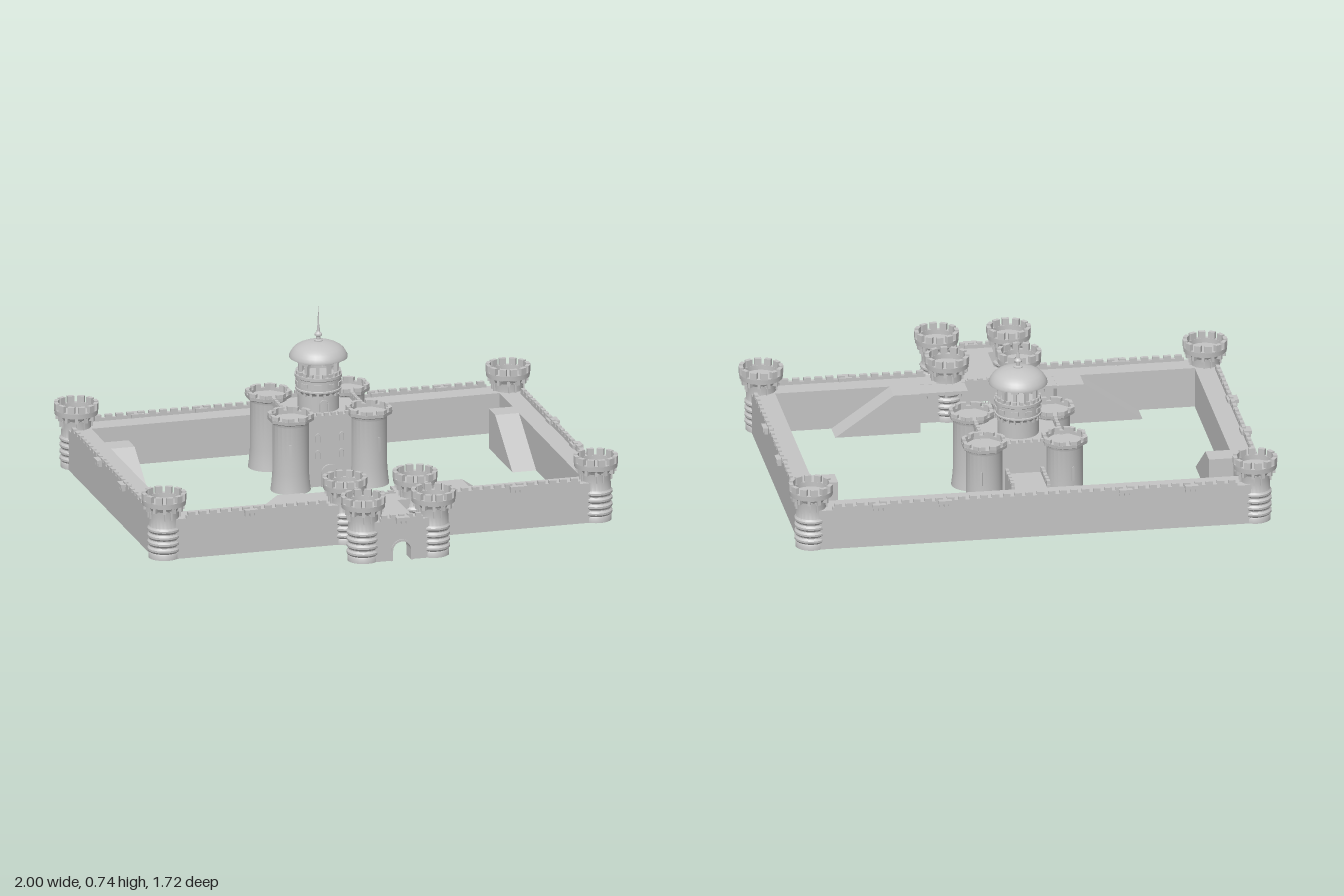
import * as THREE from 'three';
import { mergeGeometries, toCreasedNormals } from 'three/addons/utils/BufferGeometryUtils.js';

const stone = new THREE.MeshStandardMaterial({ color: 0xc4c4c4 });
stone.name = 'stone';
const BASE = 0.02;

function add(parent, name, geo) {
  const m = new THREE.Mesh(geo, stone);
  m.name = name;
  parent.add(m);
  return m;
}
// Box given by its min and max corners
function boxGeo(x0, x1, y0, y1, z0, z1) {
  return new THREE.BoxGeometry(x1 - x0, y1 - y0, z1 - z0)
    .translate((x0 + x1) / 2, (y0 + y1) / 2, (z0 + z1) / 2);
}
function lathe(points, sides, crease = 0.4, phase = 0) {
  const g = new THREE.LatheGeometry(points.map(p => new THREE.Vector2(...p)), sides);
  return toCreasedNormals(g.rotateY(phase), crease);
}
// Blocks spaced around a circle
function ringBlocks(n, r, w, h, d, y0, phase = 0) {
  const list = [];
  for (let i = 0; i < n; i++) {
    list.push(new THREE.BoxGeometry(w, h, d).translate(0, y0 + h / 2, r).rotateY(phase + i * 2 * Math.PI / n));
  }
  return mergeGeometries(list);
}
// Low parapet with merlons along a straight line
function parapet(parent, x0, z0, x1, z1, y0, yMid, yTop, t = 0.016, pitch = 0.046) {
  const len = Math.hypot(x1 - x0, z1 - z0);
  const n = Math.max(1, Math.round(len / pitch));
  const list = [boxGeo(0, len, y0, yMid, -t / 2, t / 2)];
  for (let i = 0; i < n; i++) {
    const c = (i + 0.5) * len / n;
    list.push(boxGeo(c - pitch * 0.32, c + pitch * 0.32, yMid, yTop, -t / 2, t / 2));
  }
  const g = mergeGeometries(list).rotateY(-Math.atan2(z1 - z0, x1 - x0)).translate(x0, 0, z0);
  add(parent, 'parapet', g);
}
// Wall panel in the xy plane with an arched opening at the bottom
function archWall(halfW, top, openW, openH, z0, z1, y0 = BASE) {
  const s = new THREE.Shape();
  s.moveTo(-halfW, y0);
  s.lineTo(-openW, y0);
  s.lineTo(-openW, openH - openW);
  s.absarc(0, openH - openW, openW, Math.PI, 0, true);
  s.lineTo(openW, y0);
  s.lineTo(halfW, y0);
  s.lineTo(halfW, top);
  s.lineTo(-halfW, top);
  return new THREE.ExtrudeGeometry(s, { depth: z1 - z0, bevelEnabled: false, curveSegments: 8 }).translate(0, 0, z0);
}
// Raised arch frame, centred on x = 0 and standing on y0
function archFrame(w, h, t, depth) {
  const s = new THREE.Shape();
  s.moveTo(-w - t, 0);
  s.lineTo(-w, 0);
  s.lineTo(-w, h - w);
  s.absarc(0, h - w, w, Math.PI, 0, true);
  s.lineTo(w, 0);
  s.lineTo(w + t, 0);
  s.lineTo(w + t, h - w);
  s.absarc(0, h - w, w + t, 0, Math.PI, false);
  return new THREE.ExtrudeGeometry(s, { depth, bevelEnabled: false, curveSegments: 6 });
}

// Wall tower with bulging courses and a flared crown
function wallTower(parent, name, x, z) {
  const g = new THREE.Group();
  g.name = name;
  g.position.set(x, 0, z);
  const body = [[0, BASE], [0.064, BASE], [0.064, 0.04]];
  for (let i = 0; i < 4; i++) {
    const y = 0.045 + i * 0.028;
    body.push([0.061, y], [0.068, y + 0.008], [0.068, y + 0.016], [0.061, y + 0.024]);
  }
  body.push([0.06, 0.2], [0.064, 0.228]);
  add(g, 'towerBody', lathe(body, 24, 0.7));
  add(g, 'towerCrown', lathe([[0.062, 0.222], [0.072, 0.238], [0.088, 0.244], [0.09, 0.266],
    [0.073, 0.266], [0.073, 0.246], [0, 0.246]], 24));
  add(g, 'towerCorbels', ringBlocks(12, 0.072, 0.012, 0.024, 0.022, 0.222, Math.PI / 12));
  add(g, 'towerMerlons', ringBlocks(12, 0.0815, 0.028, 0.029, 0.017, 0.264));
  for (let i = 0; i < 4; i++) {
    add(g, 'towerWindow', archFrame(0.011, 0.04, 0.005, 0.012).translate(0, 0.188, 0.054).rotateY(i * Math.PI / 2));
  }
  parent.add(g);
}
// Tall smooth keep tower with an eight-sided crown
function keepTower(parent, x, z) {
  const g = new THREE.Group();
  g.name = 'keepTower';
  g.position.set(x, 0, z);
  add(g, 'towerBody', lathe([[0, BASE], [0.082, BASE], [0.078, 0.05], [0.074, 0.1], [0.074, 0.3], [0.08, 0.318]], 24));
  add(g, 'towerCrown', lathe([[0.078, 0.308], [0.094, 0.316], [0.096, 0.33], [0.08, 0.33],
    [0.08, 0.317], [0, 0.317]], 8, 0.4, Math.PI / 8));
  const merlons = [];
  for (let i = 0; i < 8; i++) {
    for (const u of [-0.022, 0.022]) {
      merlons.push(boxGeo(u - 0.013, u + 0.013, 0.328, 0.345, 0.073, 0.088).rotateY(i * Math.PI / 4));
    }
  }
  add(g, 'towerMerlons', mergeGeometries(merlons));
  const out = Math.sign(x) * 0.3;
  add(g, 'arrowSlit', boxGeo(-0.005, 0.005, 0.17, 0.23, 0.07, 0.078).rotateY(z > -0.4 ? out : Math.PI - out));
  parent.add(g);
}
// Stair block: level landing from a to b, then a slope down to c
function rampGeo(a, b, c, depth) {
  const s = new THREE.Shape();
  s.moveTo(a, BASE);
  s.lineTo(c, BASE);
  s.lineTo(b, 0.188);
  s.lineTo(a, 0.188);
  return new THREE.ExtrudeGeometry(s, { depth, bevelEnabled: false });
}
// Small box hung on the wall head, facing +z, with teeth below
function wallBox(parent, x, z, angle) {
  const list = [boxGeo(-0.027, 0.027, 0.192, 0.206, -0.025, 0.02)];
  for (let i = -1; i <= 1; i++) list.push(boxGeo(i * 0.02 - 0.005, i * 0.02 + 0.005, 0.178, 0.192, -0.02, 0.015));
  add(parent, 'wallBox', mergeGeometries(list).rotateY(angle).translate(x, 0, z));
}

export function createModel() {
  const root = new THREE.Group();
  root.name = 'castle';
  const Y = 0.188, MID = 0.2, TOP = 0.213;

  // Curtain walls
  const walls = new THREE.Group();
  walls.name = 'curtainWalls';
  root.add(walls);
  add(walls, 'backWall', boxGeo(-0.91, 0.91, BASE, Y, -0.825, -0.72));
  parapet(walls, -0.83, -0.817, 0.83, -0.817, Y, MID, TOP);
  for (const s of [-1, 1]) {
    add(walls, 'sideWall', boxGeo(s > 0 ? 0.86 : -0.955, s > 0 ? 0.955 : -0.86, BASE, Y, -0.77, 0.5));
    parapet(walls, s * 0.947, -0.69, s * 0.947, 0.42, Y, MID, TOP);
    add(walls, 'frontWall', boxGeo(s > 0 ? 0.13 : -0.91, s > 0 ? 0.91 : -0.13, BASE, Y, 0.45, 0.548));
    parapet(walls, s * 0.23, 0.54, s * 0.83, 0.54, Y, MID, TOP);
    for (const x of [0.37, 0.64]) wallBox(walls, s * x, -0.825, Math.PI);
    for (const z of [-0.27, 0.07]) wallBox(walls, s * 0.955, z, s * Math.PI / 2);
    wallBox(walls, s * 0.56, 0.548, 0);
    // Stairs up to the walkways
    add(walls, 'frontStair', rampGeo(s * 0.28, s * 0.39, s * 0.63, 0.1).translate(0, 0, 0.35));
    add(walls, 'sideStair', rampGeo(-0.53, -0.44, -0.19, 0.105).rotateY(-Math.PI / 2)
      .translate(s > 0 ? 0.865 : -0.76, 0, 0));
    // Balcony beside the gate
    const xs = [s * 0.085, s * 0.28].sort((a, b) => a - b);
    add(walls, 'balcony', boxGeo(xs[0], xs[1], 0.174, 0.187, 0.357, 0.46));
    for (const x of [0.1, 0.17, 0.24]) {
      add(walls, 'balconyBracket', boxGeo(s * x - 0.005, s * x + 0.005, 0.15, 0.174, 0.38, 0.45));
    }
    for (const z of [0.5, -0.77]) wallTower(root, 'cornerTower', s * 0.91, z);
    for (const z of [0.5, 0.765]) wallTower(root, 'gateTower', s * 0.148, z);
  }

  // Gatehouse
  const gate = new THREE.Group();
  gate.name = 'gatehouse';
  root.add(gate);
  add(gate, 'innerGateWall', archWall(0.14, Y, 0.038, 0.1, 0.45, 0.548));
  add(gate, 'outerGateWall', archWall(0.12, Y, 0.038, 0.1, 0.75, 0.815));
  add(gate, 'gateArch', archFrame(0.038, 0.08, 0.008, 0.008).translate(0, BASE, 0.813));
  add(gate, 'gateBridge', boxGeo(-0.06, 0.06, 0.174, Y, 0.54, 0.76));
  parapet(gate, -0.09, 0.808, 0.09, 0.808, Y, MID, TOP, 0.014, 0.036);
  parapet(gate, -0.08, 0.452, 0.08, 0.452, Y, 0.194, 0.2, 0.012, 0.036);
  wallBox(gate, 0, 0.82, 0);
  const bars = [];
  for (let i = -3; i <= 3; i++) bars.push(boxGeo(i * 0.011 - 0.002, i * 0.011 + 0.002, i % 2 ? 0.006 : 0, 0.09, 0.498, 0.502));
  for (let i = 0; i < 6; i++) bars.push(boxGeo(-0.037, 0.037, 0.016 + i * 0.013, 0.02 + i * 0.013, 0.497, 0.503));
  add(gate, 'portcullis', mergeGeometries(bars));

  // Keep
  const keep = new THREE.Group();
  keep.name = 'keep';
  root.add(keep);
  add(keep, 'keepBody', boxGeo(-0.165, 0.165, BASE, 0.305, -0.55, -0.225));
  for (const s of [-1, 1]) {
    parapet(keep, s * 0.163, -0.48, s * 0.163, -0.3, 0.3, 0.32, 0.332, 0.014, 0.03);
    for (const z of [-0.55, -0.225]) keepTower(keep, s * 0.165, z);
    parapet(keep, s * 0.073, -0.72, s * 0.073, -0.55, Y, MID, TOP, 0.014, 0.034);
    for (const y of [0.14, 0.21]) {
      add(keep, 'keepWindow', archFrame(0.008, 0.032, 0.004, 0.008).translate(s * 0.05, y, -0.226));
    }
  }
  for (const z of [-0.227, -0.548]) parapet(keep, -0.09, z, 0.09, z, 0.3, 0.32, 0.332, 0.014, 0.03);
  add(keep, 'keepDoor', archFrame(0.03, 0.085, 0.008, 0.009).translate(0, BASE, -0.226));
  add(keep, 'keepBridge', boxGeo(-0.08, 0.08, BASE, Y, -0.73, -0.54));

  // Round turret with an open belfry, dome and spire
  const turret = new THREE.Group();
  turret.name = 'domedTurret';
  turret.position.set(0, 0, -0.39);
  root.add(turret);
  add(turret, 'drum', lathe([[0.084, 0.3], [0.084, 0.375], [0.095, 0.388], [0.095, 0.394], [0.091, 0.396], [0.091, 0.436],
    [0.097, 0.44], [0.097, 0.452], [0.082, 0.452], [0.082, 0.445], [0, 0.445]], 32));
  add(turret, 'drumPanels', ringBlocks(10, 0.091, 0.03, 0.016, 0.008, 0.408, Math.PI / 10));
  add(turret, 'drumCorbels', ringBlocks(20, 0.086, 0.01, 0.018, 0.014, 0.37));
  add(turret, 'drumDoor', archFrame(0.014, 0.05, 0.005, 0.01).translate(0, 0.305, 0.079));
  add(turret, 'balustrade', ringBlocks(20, 0.086, 0.016, 0.014, 0.012, 0.452));
  add(turret, 'columns', ringBlocks(10, 0.076, 0.014, 0.06, 0.016, 0.45, Math.PI / 10));
  add(turret, 'columnCapitals', ringBlocks(10, 0.078, 0.03, 0.012, 0.02, 0.5, Math.PI / 10));
  add(turret, 'belfryRing', lathe([[0.064, 0.524], [0.064, 0.508], [0.09, 0.508], [0.092, 0.524]], 32));
  const dome = [[0, 0.52], [0.119, 0.52], [0.119, 0.527]];
  for (let i = 1; i <= 8; i++) {
    const a = i * Math.PI / 16;
    dome.push([0.115 * Math.cos(a), 0.527 + 0.06 * Math.sin(a)]);
  }
  add(turret, 'dome', lathe(dome, 32, 0.6));
  add(turret, 'lantern', lathe([[0.018, 0.58], [0.018, 0.59], [0.009, 0.594], [0.009, 0.606], [0.016, 0.61],
    [0.016, 0.616], [0.007, 0.626], [0.006, 0.64], [0.003, 0.66], [0.003, 0.68], [0, 0.742]], 12, 0.6));
  return root;
}
